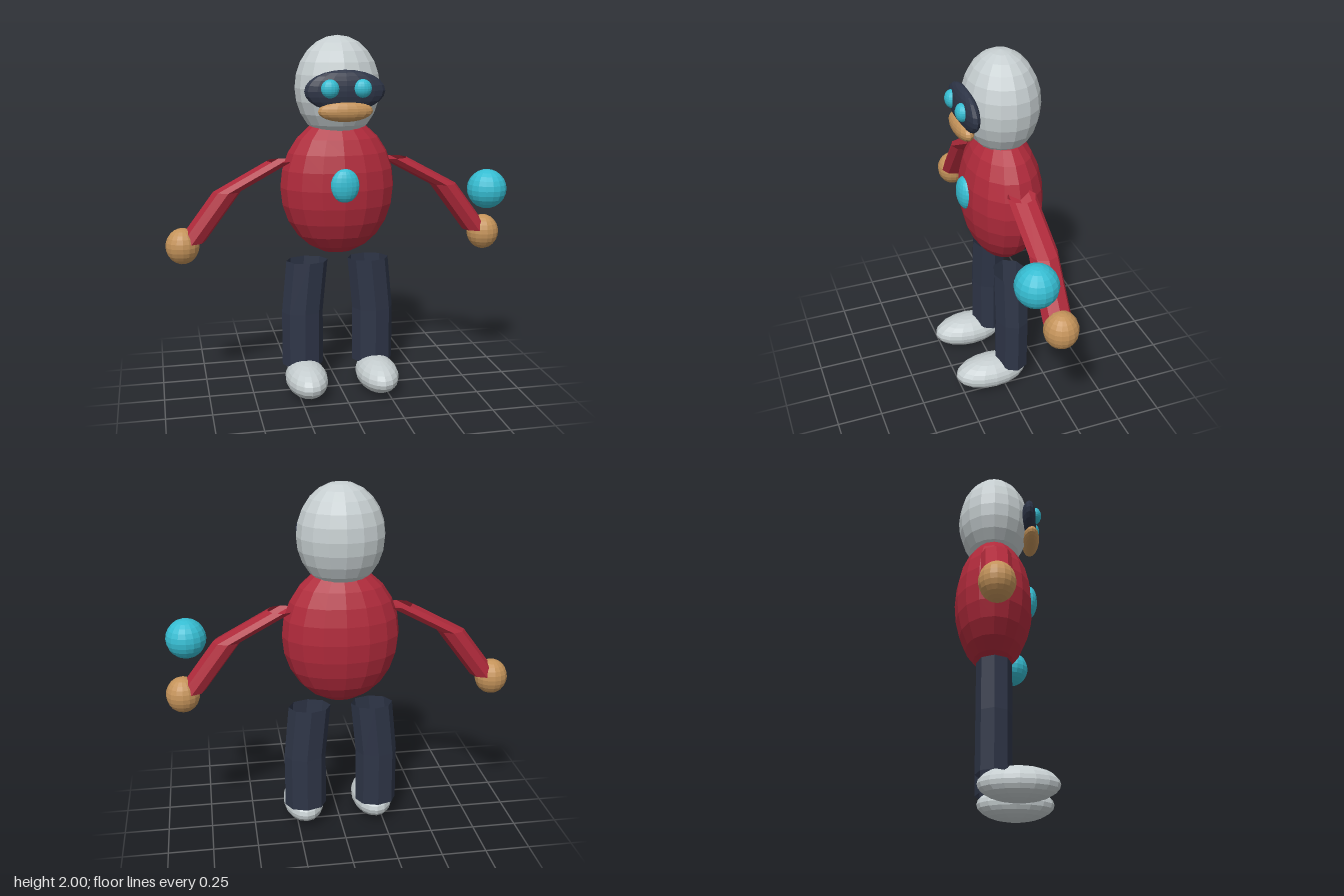
import * as THREE from 'three';

const flat = (name, color) => new THREE.MeshStandardMaterial({ name, color, flatShading: true });

export function createModel() {
  const group = new THREE.Group();
  group.name = 'figure';

  const grey = flat('pale grey', 0xc6ced0);
  const red = flat('red', 0xb02a3b);
  const navy = flat('navy', 0x2e3547);
  const tan = flat('tan', 0xc4935a);
  const teal = flat('teal', 0x36bdd2);
  // Limbs are open tubes, seen from both sides
  red.side = navy.side = THREE.DoubleSide;

  const add = (name, geometry, material) => {
    const mesh = new THREE.Mesh(geometry, material);
    mesh.name = name;
    group.add(mesh);
    return mesh;
  };

  // Faceted ellipsoid from centre and radii
  const blob = (name, material, centre, radii) => {
    const geometry = new THREE.SphereGeometry(1, 16, 12);
    geometry.scale(...radii);
    add(name, geometry, material).position.set(...centre);
  };

  // Bent open tube: level eight-sided rings placed at three [x, y] points
  const limb = (name, material, side, points, rx, rz) => {
    const geometry = new THREE.CylinderGeometry(1, 1, 2, 8, 2, true);
    const p = geometry.attributes.position;
    for (let i = 0; i < p.count; i++) {
      const [x, y] = points[Math.round(1 - p.getY(i))];
      p.setXYZ(i, side * x + p.getX(i) * rx, y, p.getZ(i) * rz - 0.055);
    }
    geometry.computeVertexNormals();
    add(name, geometry, material);
  };

  // Body and head
  blob('torso', red, [0, 1.175, -0.057], [0.322, 0.385, 0.219]);
  blob('head', grey, [0, 1.72, -0.057], [0.237, 0.28, 0.206]);
  blob('chestLight', teal, [0, 1.208, 0.145], [0.08, 0.093, 0.045]);

  // Face
  blob('mask', navy, [0, 1.715, 0.143], [0.218, 0.11, 0.049]);
  blob('mouth', tan, [0, 1.61, 0.158], [0.148, 0.057, 0.05]);

  // Paired parts
  for (const [label, s] of [['left', 1], ['right', -1]]) {
    blob(label + 'Eye', teal, [s * 0.087, 1.729, 0.18], [0.049, 0.049, 0.037]);
    limb(label + 'Arm', red, s, [[0.32, 1.325], [0.615, 1.165], [0.82, 0.89]], 0.077, 0.077);
    blob(label + 'Hand', tan, [s * 0.866, 0.87, -0.055], [0.092, 0.1, 0.09]);
    limb(label + 'Leg', navy, s, [[0.176, 0.753], [0.205, 0.455], [0.205, 0.14]], 0.118, 0.095);
    blob(label + 'Foot', grey, [s * 0.205, 0.094, 0.07], [0.118, 0.092, 0.21]);
  }

  // Ball floating beside the left hand
  blob('ball', teal, [0.835, 1.147, 0.07], [0.111, 0.111, 0.111]);

  return group;
}
